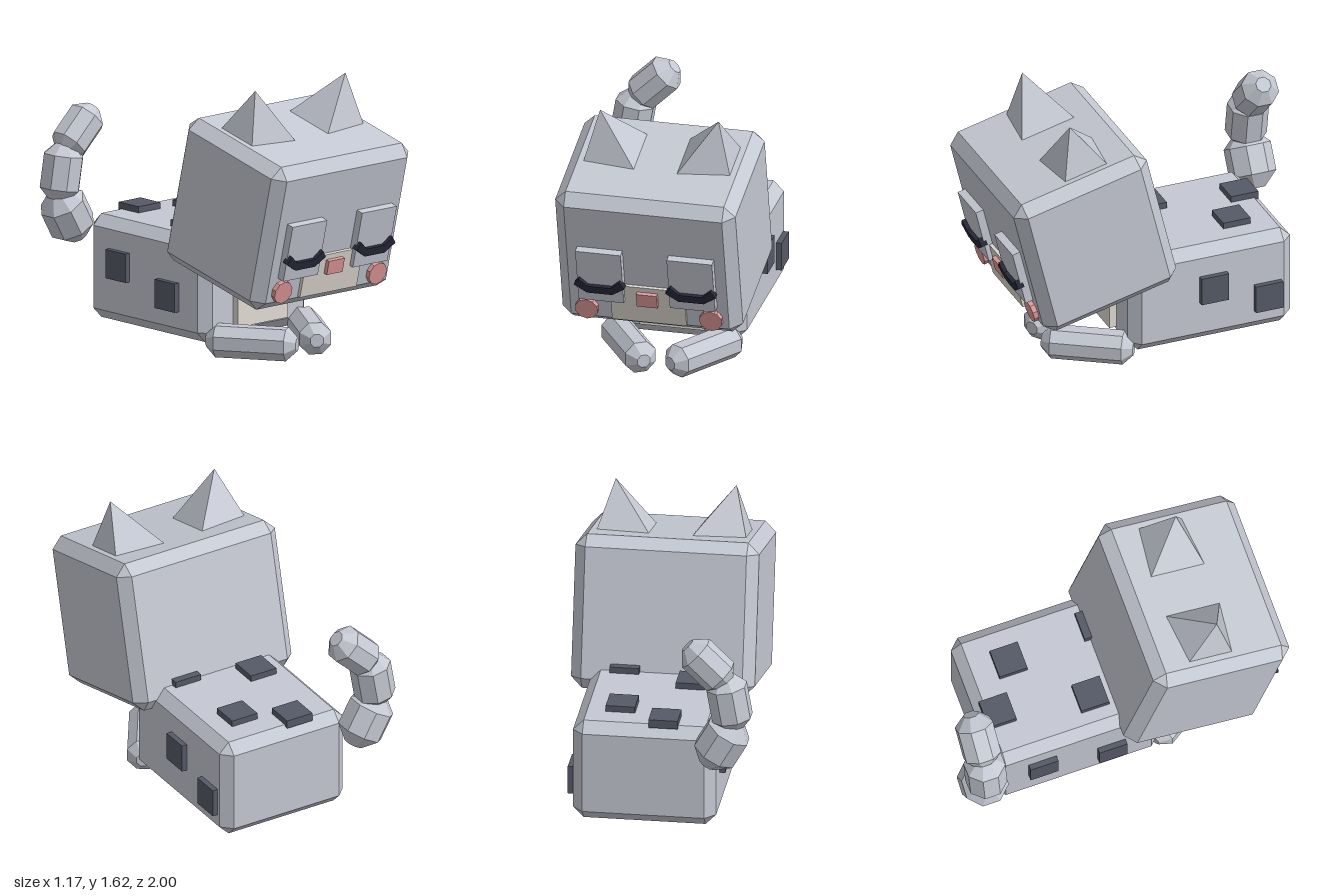
import * as THREE from 'three';
import { ConvexGeometry } from 'three/addons/geometries/ConvexGeometry.js';

const material = (name, color) => {
  const m = new THREE.MeshStandardMaterial({ color, flatShading: true });
  m.name = name;
  return m;
};

// Box with every edge and corner cut at 45 degrees
function chamferBox(w, h, d, c) {
  const pts = [];
  for (const x of [-1, 1]) for (const y of [-1, 1]) for (const z of [-1, 1]) {
    const [a, b, e] = [w / 2, h / 2, d / 2];
    pts.push(new THREE.Vector3(x * a, y * (b - c), z * (e - c)));
    pts.push(new THREE.Vector3(x * (a - c), y * b, z * (e - c)));
    pts.push(new THREE.Vector3(x * (a - c), y * (b - c), z * e));
  }
  return new ConvexGeometry(pts);
}

// Eight-sided bar along y with chamfered ends
function octBar(r, half) {
  const profile = [[0, -half], [0.41 * r, -half], [r, -half + 0.59 * r],
    [r, half - 0.59 * r], [0.41 * r, half], [0, half]].map(p => new THREE.Vector2(...p));
  return new THREE.LatheGeometry(profile, 8, Math.PI / 8);
}

export function createModel() {
  const fur = material('grey fur', 0xc5c9d3);
  const cream = material('cream', 0xe0dad2);
  const spotDark = material('dark spots', 0x565a67);
  const lashDark = material('eyelash', 0x262838);
  const pink = material('pink', 0xe29a9a);

  const root = new THREE.Group();
  root.name = 'cat';
  const cat = new THREE.Group();
  cat.name = 'symmetricParts';
  cat.position.x = 0.055;
  root.add(cat);

  const add = (parent, name, geo, mat, x = 0, y = 0, z = 0) => {
    const m = new THREE.Mesh(geo, mat);
    m.name = name;
    m.position.set(x, y, z);
    parent.add(m);
    return m;
  };
  const box = (w, h, d) => new THREE.BoxGeometry(w, h, d);

  // Body and chest
  add(cat, 'body', chamferBox(0.83, 0.61, 1.01, 0.062), fur, 0, 0.375, -0.265);
  add(cat, 'chest', box(0.385, 0.45, 0.05), cream, -0.003, 0.375, 0.26);

  // Raised square spots on back and flanks
  const s = 0.17;
  for (const [x, z] of [[-0.055, -0.65], [0.215, -0.487], [-0.139, -0.115], [0.267, 0.05]])
    add(root, 'backSpot', box(s, 0.05, s), spotDark, x, 0.692, z);
  for (const [side, y, z] of [[1, 0.415, -0.267], [1, 0.29, -0.605], [-1, 0.42, -0.485], [-1, 0.315, -0.065]])
    add(cat, 'sideSpot', box(0.05, s, s), spotDark, side * 0.423, y, z);

  // Head, tilted forward
  const head = new THREE.Group();
  head.name = 'head';
  head.position.set(0, 0.896, 0.493);
  head.rotation.x = 0.24;
  cat.add(head);
  add(head, 'skull', chamferBox(1.065, 0.9, 0.853, 0.065), fur);
  add(head, 'muzzle', box(0.44, 0.246, 0.04), cream, 0, -0.255, 0.427);
  add(head, 'nose', box(0.122, 0.086, 0.07), pink, 0, -0.207, 0.437);

  const lashShape = new THREE.Shape([[-0.15, -0.115], [-0.075, -0.165], [0.075, -0.165], [0.15, -0.115],
    [0.12, -0.072], [0.07, -0.118], [-0.07, -0.118], [-0.12, -0.072]].map(p => new THREE.Vector2(...p)));
  const lashGeo = new THREE.ExtrudeGeometry(lashShape, { depth: 0.04, bevelEnabled: false });
  const cheekGeo = new THREE.CylinderGeometry(0.068, 0.068, 0.05, 10).rotateX(Math.PI / 2);

  for (const side of [-1, 1]) {
    const label = side > 0 ? 'left' : 'right';
    // Closed eye and cheek
    add(head, label + 'EyeLid', box(0.268, 0.343, 0.08), fur, side * 0.27, -0.063, 0.434);
    add(head, label + 'Eyelash', lashGeo, lashDark, side * 0.27, 0, 0.458);
    add(head, label + 'Cheek', cheekGeo, pink, side * 0.367, -0.32, 0.43);
    // Four-sided ear with its tip leaning outward
    const ear = [[0.12, 0.44, -0.242], [0.12, 0.44, 0.104], [0.435, 0.44, 0.069], [0.435, 0.44, -0.206], [0.35, 0.728, -0.068]];
    add(head, label + 'Ear', new ConvexGeometry(ear.map(([x, y, z]) => new THREE.Vector3(side * x, y, z))), fur);
    // Front paw, toes turned inward
    const paw = add(cat, label + 'Paw', octBar(0.1, 0.268), fur, side * 0.2225, 0.0925, 0.433);
    paw.rotation.set(Math.PI / 2, -side * 0.576, 0, 'YXZ');
  }

  // Tail of three curling segments
  const tail = new THREE.Group();
  tail.name = 'tail';
  root.add(tail);
  for (const [r, half, x, y, tilt] of [[0.138, 0.165, -0.415, 0.665, 0.52],
    [0.121, 0.17, -0.46, 0.92, -0.17], [0.1135, 0.166, -0.335, 1.145, -0.8]])
    add(tail, 'tailSegment', octBar(r, half), fur, x, y, -0.87).rotation.z = tilt;

  return root;
}
